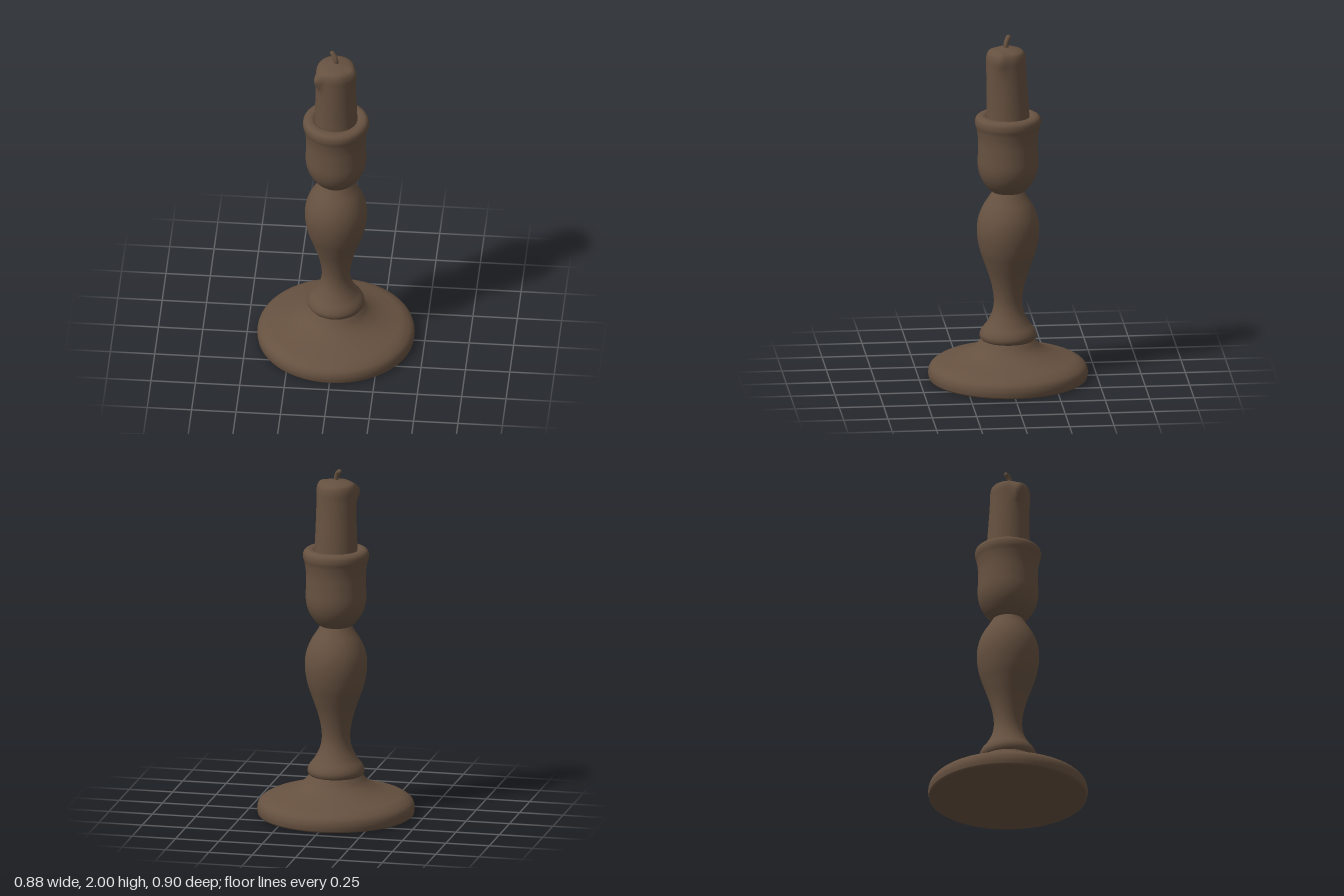
import * as THREE from 'three';
import { mergeVertices } from 'three/addons/utils/BufferGeometryUtils.js';

const brown = new THREE.MeshStandardMaterial({ color: 0x665140 });
brown.name = 'dark brown';

// Spin a smooth curve through [radius, height] points
function turned(name, points, { cap = [], steps = 40, sides = 72 } = {}) {
  const curve = new THREE.SplineCurve(points.map(p => new THREE.Vector2(...p)));
  const profile = [...cap.map(p => new THREE.Vector2(...p)), ...curve.getPoints(steps)];
  const mesh = new THREE.Mesh(new THREE.LatheGeometry(profile, sides), brown);
  mesh.name = name;
  return mesh;
}

// Drop the lathe seam and refresh smooth normals after moving vertices
function weld(geometry) {
  geometry.deleteAttribute('uv');
  geometry.deleteAttribute('normal');
  const merged = mergeVertices(geometry, 1e-5);
  merged.computeVertexNormals();
  return merged;
}

const bump = (v, centre, width) => Math.exp(-(((v - centre) / width) ** 2));

// Candle leaning slightly forward, with two melted drips on its rim
function makeCandle() {
  const candle = turned('candle', [
    [0.122, 1.5], [0.118, 1.6], [0.114, 1.72], [0.112, 1.82], [0.111, 1.875],
    [0.1, 1.908], [0.075, 1.922], [0.04, 1.93], [0, 1.937],
  ], { steps: 48, sides: 64 });
  const pos = candle.geometry.attributes.position;
  for (let i = 0; i < pos.count; i++) {
    let x = pos.getX(i), y = pos.getY(i), z = pos.getZ(i);
    const r = Math.hypot(x, z);
    const angle = Math.atan2(z, x);
    const edge = THREE.MathUtils.smoothstep(r, 0.05, 0.11);
    const left = bump(angle, 2.5, 0.24) * edge;
    const right = bump(angle, 0.35, 0.3) * edge;
    const swell = 1 + 0.27 * left * bump(y, 1.87, 0.06) + 0.12 * right * bump(y, 1.87, 0.06);
    x *= swell;
    z = z * swell + 0.012 * THREE.MathUtils.smoothstep(y, 1.5, 1.9);
    if (y > 1.8) y += -0.012 * left + 0.008 * right;
    pos.setXYZ(i, x, y, z);
  }
  candle.geometry = weld(candle.geometry);
  return candle;
}

// Short crooked wick: rings stacked along a bent path
function makeWick() {
  const wick = new THREE.Group();
  wick.name = 'wick';
  const path = new THREE.CatmullRomCurve3([
    new THREE.Vector3(0.004, 1.915, 0.01),
    new THREE.Vector3(0.0, 1.95, 0.012),
    new THREE.Vector3(-0.01, 1.975, 0.003),
    new THREE.Vector3(-0.022, 1.99, -0.006),
  ]);
  const stem = new THREE.Mesh(new THREE.TubeGeometry(path, 12, 0.014, 8), brown);
  stem.name = 'wickStem';
  const tip = new THREE.Mesh(new THREE.SphereGeometry(0.014, 8, 6), brown);
  tip.name = 'wickTip';
  tip.position.set(-0.021, 1.986, -0.006);
  wick.add(stem, tip);
  return wick;
}

export function createModel() {
  const model = new THREE.Group();
  model.name = 'candlestick';

  // Wide foot with a flat underside
  const foot = turned('foot', [
    [0.438, 0.006], [0.442, 0.04], [0.43, 0.075], [0.39, 0.103], [0.335, 0.12],
    [0.28, 0.137], [0.225, 0.16], [0.18, 0.19], [0.15, 0.228], [0.135, 0.25],
  ], { cap: [[0, 0], [0.43, 0], [0.43, 0]] });
  foot.scale.z = 1.015;

  // Collar ring flowing into the vase-shaped stem
  const stem = turned('stem', [
    [0.125, 0.228], [0.15, 0.23], [0.16, 0.255], [0.15, 0.285], [0.12, 0.325],
    [0.092, 0.38], [0.08, 0.44], [0.085, 0.51], [0.104, 0.59], [0.135, 0.68],
    [0.161, 0.76], [0.175, 0.85], [0.169, 0.93], [0.144, 1.0], [0.107, 1.06],
    [0.086, 1.095], [0.08, 1.11],
  ], { steps: 90 });

  // Candle cup with a rounded lip
  const cup = turned('cup', [
    [0.075, 1.088], [0.098, 1.1], [0.13, 1.135], [0.157, 1.185], [0.17, 1.245],
    [0.169, 1.33], [0.169, 1.4], [0.176, 1.455], [0.185, 1.49], [0.182, 1.52],
    [0.165, 1.536], [0.14, 1.538], [0.122, 1.53], [0.11, 1.515],
  ], { steps: 70 });

  model.add(foot, stem, cup, makeCandle(), makeWick());
  return model;
}
